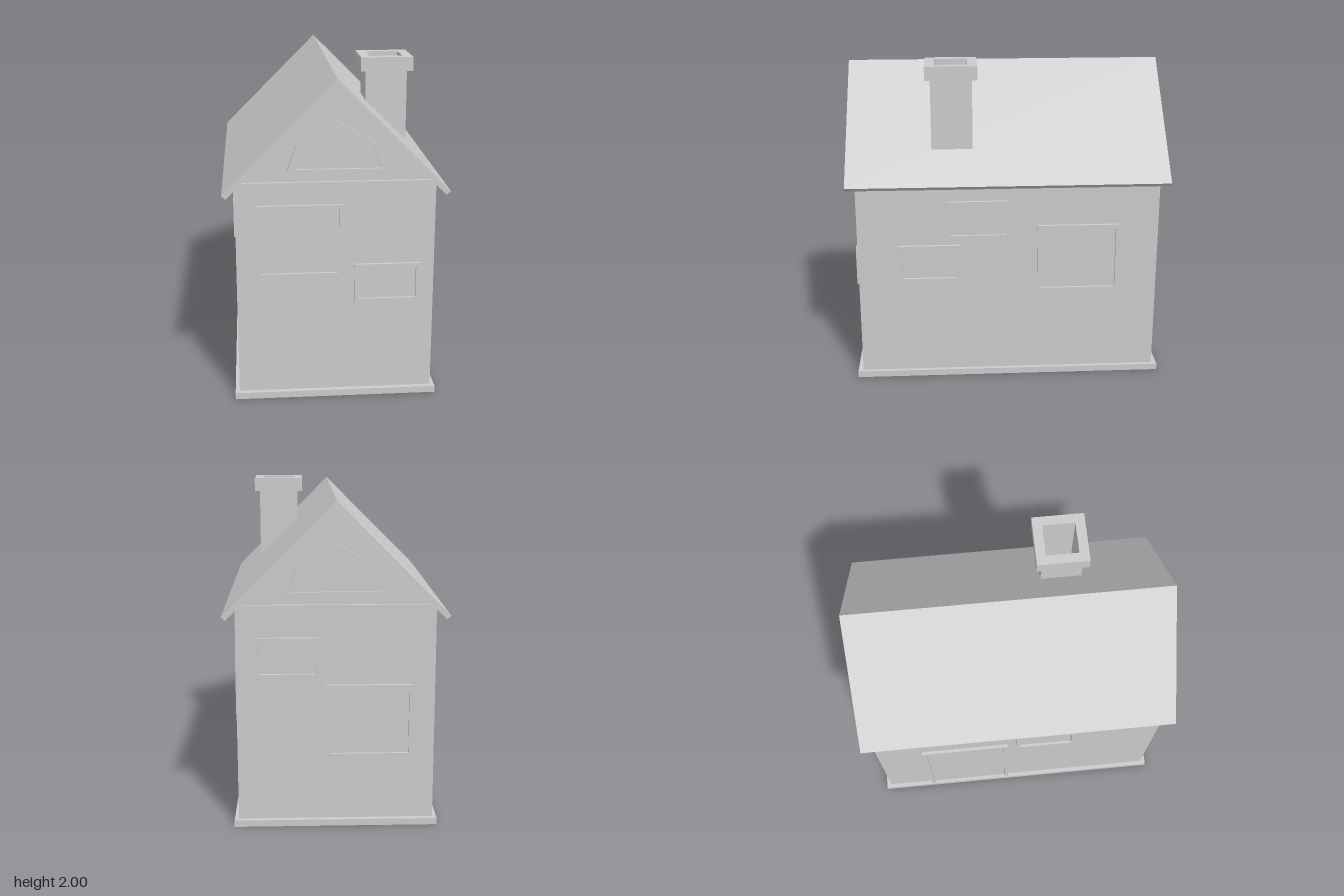
import * as THREE from 'three';

const material = new THREE.MeshStandardMaterial({ color: 0xcccccc, flatShading: true });
const HALF_W = 0.585, HALF_D = 0.94, WALL_TOP = 1.325, RIDGE = 1.955, ROOF_DROP = 0.045;

function mesh(name, geometry) {
  const m = new THREE.Mesh(geometry, material);
  m.name = name;
  return m;
}

const toPoints = (pts) => pts.map(([x, y]) => new THREE.Vector2(x, y));

// Extrudes an outline (with an optional hole) along +z, starting at z0
function prism(name, outline, depth, z0 = 0, hole = null) {
  const shape = new THREE.Shape(toPoints(outline));
  if (hole) shape.holes.push(new THREE.Path(toPoints(hole)));
  const geometry = new THREE.ExtrudeGeometry(shape, { depth, bevelEnabled: false });
  return mesh(name, geometry.translate(0, 0, z0));
}

const rect = (x0, x1, y0, y1) => [[x0, y0], [x1, y0], [x1, y1], [x0, y1]];

// Raised frame around a thin pane
function framed(name, outer, inner) {
  const group = new THREE.Group();
  group.name = name;
  group.add(prism(name + 'Frame', outer, 0.02, 0, inner), prism(name + 'Pane', inner, 0.004));
  return group;
}

function rectWindow(x0, x1, y0, y1, t = 0.023) {
  return framed('window', rect(x0, x1, y0, y1), rect(x0 + t, x1 - t, y0 + t, y1 - t));
}

function gableWindow() {
  return framed('gableWindow',
    [[-0.285, 1.416], [0.285, 1.416], [0.228, 1.577], [0, 1.71], [-0.228, 1.577]],
    [[-0.258, 1.43], [0.258, 1.43], [0.212, 1.565], [0, 1.692], [-0.212, 1.565]]);
}

// Horizontal band under the gable, its ends cut to the roof slope
function gableTrim() {
  const h = 0.03;
  return prism('gableTrim', [[-HALF_W, WALL_TOP], [HALF_W, WALL_TOP],
    [HALF_W - h, WALL_TOP + h], [-HALF_W + h, WALL_TOP + h]], 0.02);
}

// Square tube standing upright, centred on the chimney axis
function squareTube(name, half, halfHole, y0, y1) {
  const tube = prism(name, rect(-half, half, -half, half), y1 - y0, 0,
    rect(-halfHole, halfHole, -halfHole, halfHole));
  tube.geometry.rotateX(-Math.PI / 2).translate(0.347, y0, 0.343);
  return tube;
}

function chimney() {
  const group = new THREE.Group();
  group.name = 'chimney';
  const stack = squareTube('chimneyStack', 0.127, 0.1, 1.4, 1.915);
  // The foot follows the slope of the roof
  const pos = stack.geometry.attributes.position;
  for (let i = 0; i < pos.count; i++) {
    if (pos.getY(i) < 1.5) pos.setY(i, RIDGE - 0.02 - pos.getX(i));
  }
  stack.geometry.computeVertexNormals();
  group.add(stack, squareTube('chimneyCap', 0.16, 0.1, 1.915, 2));
  return group;
}

// Group whose local z faces out of a wall
function wall(name, angle, distance, parts) {
  const group = new THREE.Group();
  group.name = name;
  group.rotation.y = angle;
  group.position.set(Math.sin(angle) * distance, 0, Math.cos(angle) * distance);
  group.add(...parts);
  return group;
}

export function createModel() {
  const house = new THREE.Group();
  house.name = 'house';

  // Plinth
  house.add(mesh('plinth', new THREE.BoxGeometry(1.22, 0.04, 1.945).translate(0, 0.02, 0)));

  // Walls with gables
  house.add(prism('walls', [[-HALF_W, 0.04], [HALF_W, 0.04], [HALF_W, WALL_TOP],
    [0, RIDGE - ROOF_DROP], [-HALF_W, WALL_TOP]], HALF_D * 2, -HALF_D));

  // Pitched roof
  house.add(prism('roof', [[0, RIDGE], [-0.66, 1.295], [-0.637, 1.272],
    [0, RIDGE - ROOF_DROP], [0.637, 1.272], [0.66, 1.295]], 1.99, -0.995));

  house.add(chimney());

  // Openings on each wall
  house.add(wall('frontWall', 0, HALF_D, [
    gableTrim(), gableWindow(),
    rectWindow(-0.465, 0.04, 0.775, 1.215),
    rectWindow(0.11, 0.5, 0.605, 0.845),
  ]));
  house.add(wall('backWall', Math.PI, HALF_D, [
    gableTrim(), gableWindow(),
    rectWindow(-0.48, -0.09, 0.92, 1.16),
    rectWindow(-0.06, 0.455, 0.43, 0.875),
  ]));
  house.add(wall('leftWall', Math.PI / 2, HALF_W, [
    rectWindow(-0.69, -0.3, 0.655, 0.895),
    rectWindow(-0.387, 0, 0.937, 1.18),
    rectWindow(0.18, 0.695, 0.575, 1.015),
  ]));
  house.add(wall('rightWall', -Math.PI / 2, HALF_W, [
    framed('door', rect(-0.64, -0.065, 0.04, 0.895), rect(-0.612, -0.093, 0.045, 0.867)),
    rectWindow(-0.01, 0.38, 0.838, 1.08),
  ]));

  return house;
}
